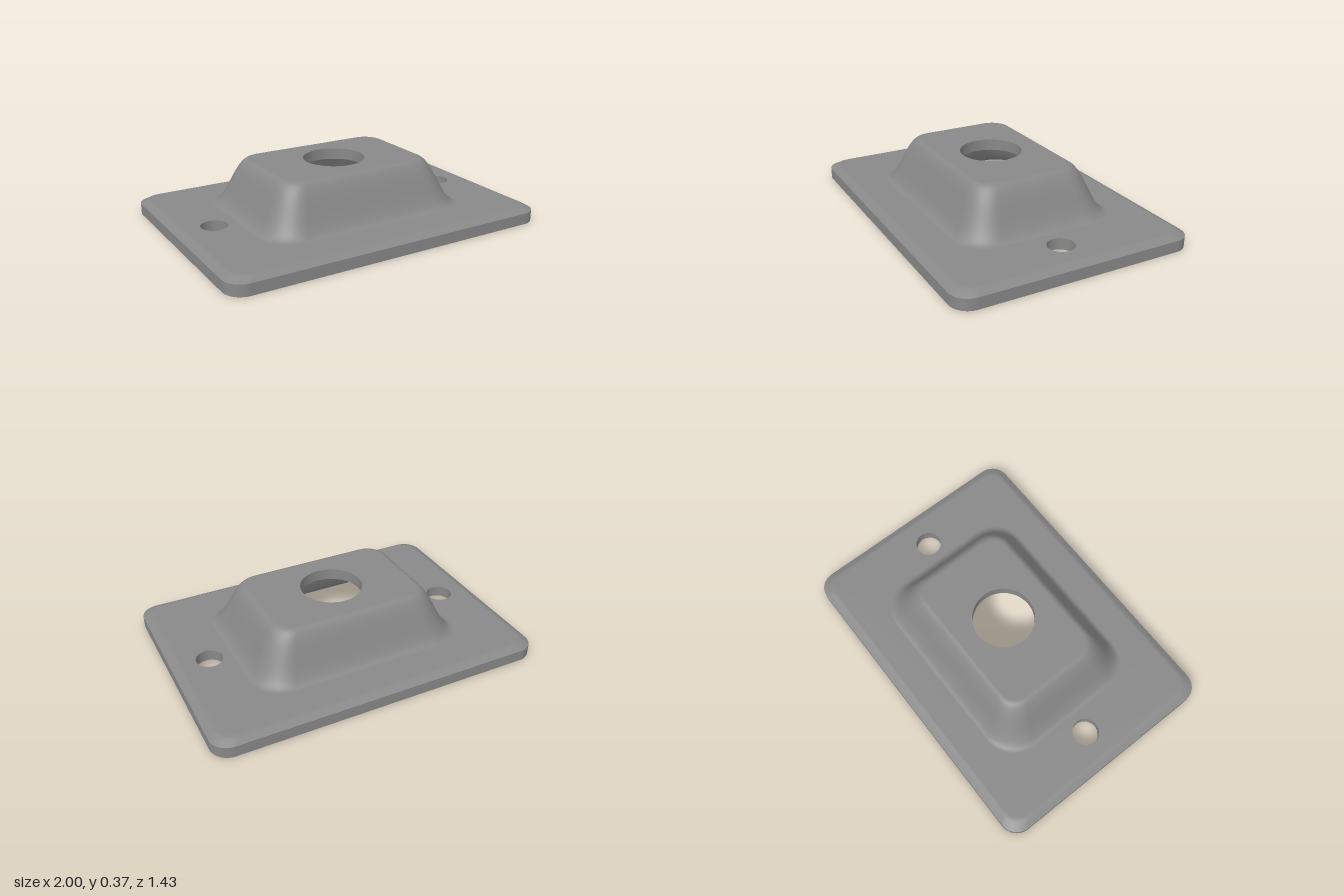
import * as THREE from 'three';

// Pressed sheet: the underside is the top surface moved down by SHEET
const SHEET = 0.067, PLATE = 0.093, TOP = 0.37;
const HX = 1, HZ = 0.715, CORNER = 0.108;

// Outline of a rounded rectangle, counter-clockwise
function roundedRect(hx, hz, r, n = 12) {
  const pts = [];
  [[1, 1], [-1, 1], [-1, -1], [1, -1]].forEach(([sx, sz], q) => {
    for (let i = 0; i <= n; i++) {
      const a = (q + i / n) * Math.PI / 2;
      pts.push(new THREE.Vector2(sx * (hx - r) + r * Math.cos(a), sz * (hz - r) + r * Math.sin(a)));
    }
  });
  return pts;
}

function circle(cx, r, n = 64) {
  return Array.from({ length: n }, (_, i) => {
    const a = i / n * Math.PI * 2;
    return new THREE.Vector2(cx + r * Math.cos(a), r * Math.sin(a));
  });
}

// Smooth skin through closed rings; rising rings face out, falling rings face in
function loft(rings) {
  const n = rings[0].pts.length, pos = [], idx = [];
  for (const { pts, y } of rings) for (const p of pts) pos.push(p.x, y, p.y);
  for (let i = 0; i < rings.length - 1; i++) {
    for (let j = 0; j < n; j++) {
      const k = (j + 1) % n, a = i * n + j, b = i * n + k;
      idx.push(a, a + n, b, b, a + n, b + n);
    }
  }
  const g = new THREE.BufferGeometry();
  g.setAttribute('position', new THREE.Float32BufferAttribute(pos, 3));
  g.setIndex(idx);
  g.computeVertexNormals();
  return g;
}

// Same rings one sheet thickness lower, facing the other way
const underside = rings => rings.map(r => ({ pts: r.pts, y: r.y - SHEET })).reverse();

// Flat horizontal face with holes, facing up (1) or down (-1)
function flat(outline, holes, y, facing) {
  const s = new THREE.Shape(outline);
  s.holes = holes.map(h => new THREE.Path(h));
  return new THREE.ShapeGeometry(s).rotateX(-facing * Math.PI / 2).translate(0, y, 0);
}

export function createModel() {
  const group = new THREE.Group();
  const grey = new THREE.MeshStandardMaterial({ color: 0x888888 });
  grey.name = 'grey';
  const add = (name, geo) => {
    const m = new THREE.Mesh(geo, grey);
    m.name = name;
    group.add(m);
  };

  // S-shaped wall of the raised housing, from foot to crown
  const steps = 24, wall = [];
  for (let i = 0; i <= steps; i++) {
    const t = i / steps;
    wall.push({
      pts: roundedRect(0.655 - 0.203 * t, 0.485 - 0.188 * t, 0.195 - 0.095 * t),
      y: PLATE + (TOP - PLATE) * (1 - Math.cos(Math.PI * t)) / 2,
    });
  }
  const foot = wall[0].pts, crown = wall[steps].pts;
  const bolts = [-0.78, 0.78].map(x => circle(x, 0.078));
  const bore = circle(0, 0.183);

  // Softened border of the plate, from the rim inwards
  const border = [[0, SHEET], [0.02, 0.079], [0.036, 0.0885], [0.047, 0.0922], [0.056, PLATE]]
    .map(([inset, y]) => ({ pts: roundedRect(HX - inset, HZ - inset, CORNER - inset * 0.3), y }));
  const edge = border[0].pts, field = border[border.length - 1].pts;

  // Base plate
  add('plateRim', loft([{ pts: edge, y: 0 }, { pts: edge, y: SHEET }]));
  add('plateBevel', loft(border));
  add('plateTop', flat(field, [foot, ...bolts], PLATE, 1));
  add('plateInnerBevel', loft(underside(border)));
  add('plateUnderside', flat(field, [foot, ...bolts], PLATE - SHEET, -1));

  // Raised housing and the hollow beneath it
  add('housingWall', loft(wall));
  add('housingTop', flat(crown, [bore], TOP, 1));
  add('cavityWall', loft(underside(wall)));
  add('cavityCeiling', flat(crown, [bore], TOP - SHEET, -1));

  // Walls of the drilled holes
  const hole = (pts, top) => loft([{ pts, y: top }, { pts, y: top - SHEET }]);
  add('centreBore', hole(bore, TOP));
  bolts.forEach((b, i) => add(i ? 'leftBoltHole' : 'rightBoltHole', hole(b, PLATE)));

  return group;
}
